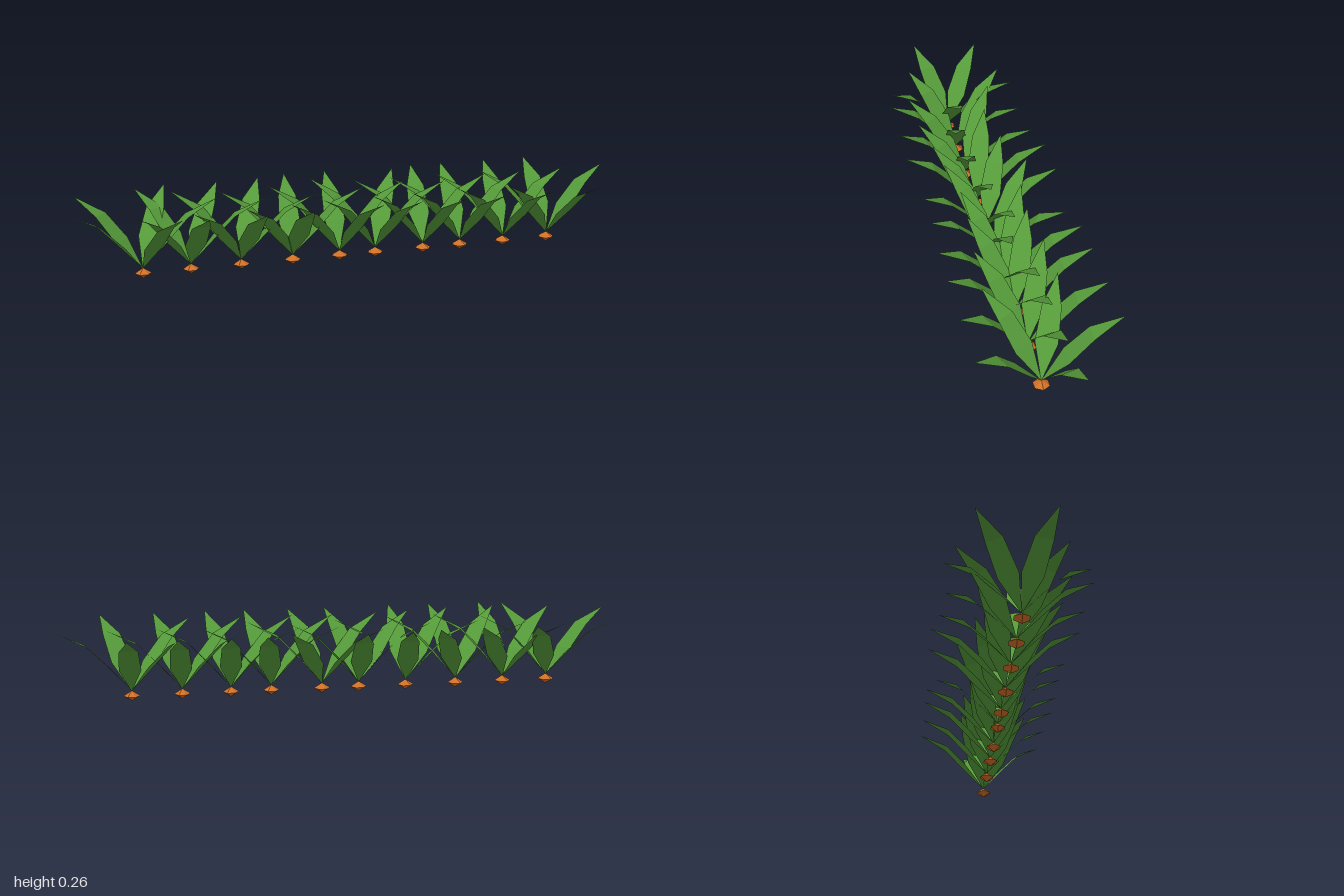
import * as THREE from 'three';

const leafMat = new THREE.MeshStandardMaterial({ color: 0x559a3a, flatShading: true, side: THREE.DoubleSide });
leafMat.name = 'leaf green';
const bulbMat = new THREE.MeshStandardMaterial({ color: 0xcf7028, flatShading: true });
bulbMat.name = 'root orange';

// x position of each plant, then the headings of its five leaves in degrees (0 = +x, 90 = -z)
const PLANTS = [
  [-0.757, [64, 143, 200, 295, 0]],
  [-0.592, [58, 128, 214, 276, 349]],
  [-0.415, [64, 148, 224, 280, 350]],
  [-0.23, [83, 160, 222, 273, 0]],
  [-0.058, [87, 155, 215, 290, 10]],
  [0.075, [59, 140, 210, 291, 0]],
  [0.257, [82, 155, 204, 286, 11]],
  [0.4, [87, 158, 206, 286, 12]],
  [0.57, [86, 155, 210, 290, 13]],
  [0.745, [88, 155, 214, 294, 16]],
];

// Blade cross-sections: distance out, height, half width
const SECTIONS = [
  [0, 0.035, 0.001],
  [0.077, 0.127, 0.038],
  [0.156, 0.21, 0.032],
  [0.26, 0.264, 0.0005],
];

// A flat blade that bends outward towards its tip
function bladeGeometry() {
  const points = [];
  const index = [];
  SECTIONS.forEach(([r, y, w], i) => {
    points.push(r, y, w, r, y, -w);
    if (i > 0) {
      const a = 2 * i - 2;
      index.push(a, a + 2, a + 1, a + 1, a + 2, a + 3);
    }
  });
  const geo = new THREE.BufferGeometry();
  geo.setAttribute('position', new THREE.Float32BufferAttribute(points, 3));
  geo.setIndex(index);
  geo.computeVertexNormals();
  return geo;
}

export function createModel() {
  const model = new THREE.Group();
  model.name = 'cropRow';
  const blade = bladeGeometry();
  // Six-sided double cone, with corners on the x axis
  const bulb = new THREE.SphereGeometry(0.029, 6, 2).scale(1, 0.0185 / 0.029, 1);

  PLANTS.forEach(([x, headings], i) => {
    const plant = new THREE.Group();
    plant.name = `plant${i + 1}`;
    plant.position.x = x;

    // Root crown at ground level
    const root = new THREE.Mesh(bulb, bulbMat);
    root.name = 'root';
    root.position.y = 0.0185;
    plant.add(root);

    // Fan of leaves
    headings.forEach((deg, k) => {
      const leaf = new THREE.Mesh(blade, leafMat);
      leaf.name = `leaf${k + 1}`;
      leaf.rotation.y = THREE.MathUtils.degToRad(deg);
      plant.add(leaf);
    });
    model.add(plant);
  });
  return model;
}
